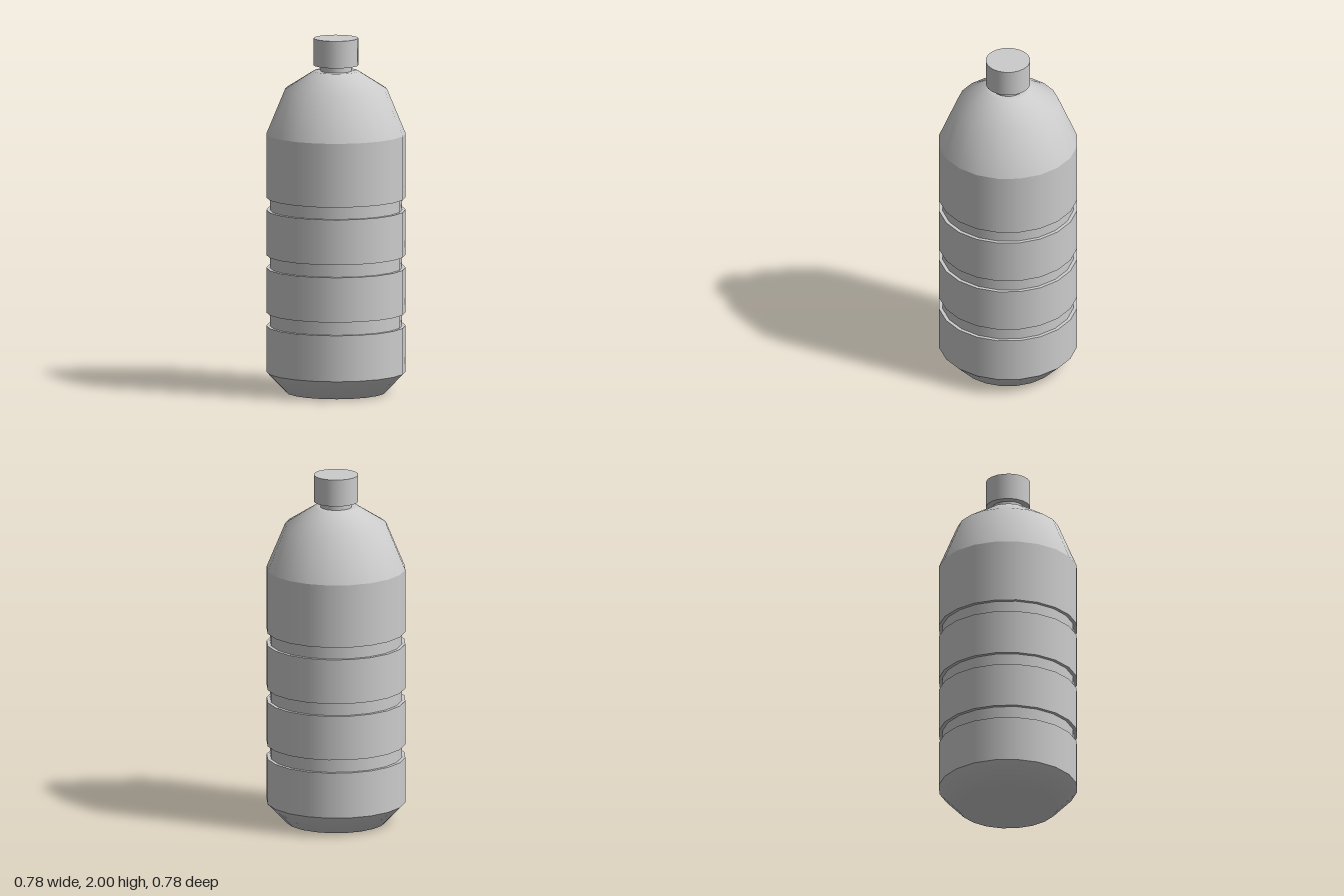
import * as THREE from 'three';
import { mergeGeometries } from 'three/addons/utils/BufferGeometryUtils.js';

const SIDES = 20;
const material = new THREE.MeshStandardMaterial({ color: 0xcccccc });

// Each run is a smooth profile of [radius, y] points, from bottom to top; edges between runs stay sharp.
function turned(name, runs) {
  const parts = runs.map(run =>
    new THREE.LatheGeometry(run.map(([r, y]) => new THREE.Vector2(r, y)), SIDES));
  const mesh = new THREE.Mesh(mergeGeometries(parts), material);
  mesh.name = name;
  return mesh;
}

// Splits a profile into one sharp-edged run per segment.
const sharp = points => points.slice(1).map((p, i) => [points[i], p]);

export function createModel() {
  const group = new THREE.Group();
  group.name = 'bottle';
  const R = 0.39, GROOVE_R = 0.37;

  // Chamfered base, shaded smoothly into its flat underside
  group.add(turned('base', [[[0, 0], [0.28, 0], [R, 0.115]]]));

  // Straight wall with three recessed rings
  const wall = [[R, 0.115]];
  for (const [low, high] of [[0.375, 0.45], [0.703, 0.775], [1.03, 1.1]]) {
    wall.push([R, low], [GROOVE_R, low], [GROOVE_R, high], [R, high]);
  }
  wall.push([R, 1.46]);
  group.add(turned('body', sharp(wall)));

  // Rounded shoulder running in to the neck
  group.add(turned('shoulder', [[[R, 1.46], [0.285, 1.713], [0.125, 1.815], [0.088, 1.815]]]));

  // Narrow neck
  group.add(turned('neck', [[[0.088, 1.815], [0.088, 1.847]]]));

  // Screw cap, closed above and below
  group.add(turned('cap', sharp([[0, 1.847], [0.125, 1.847], [0.125, 2], [0, 2]])));

  return group;
}
